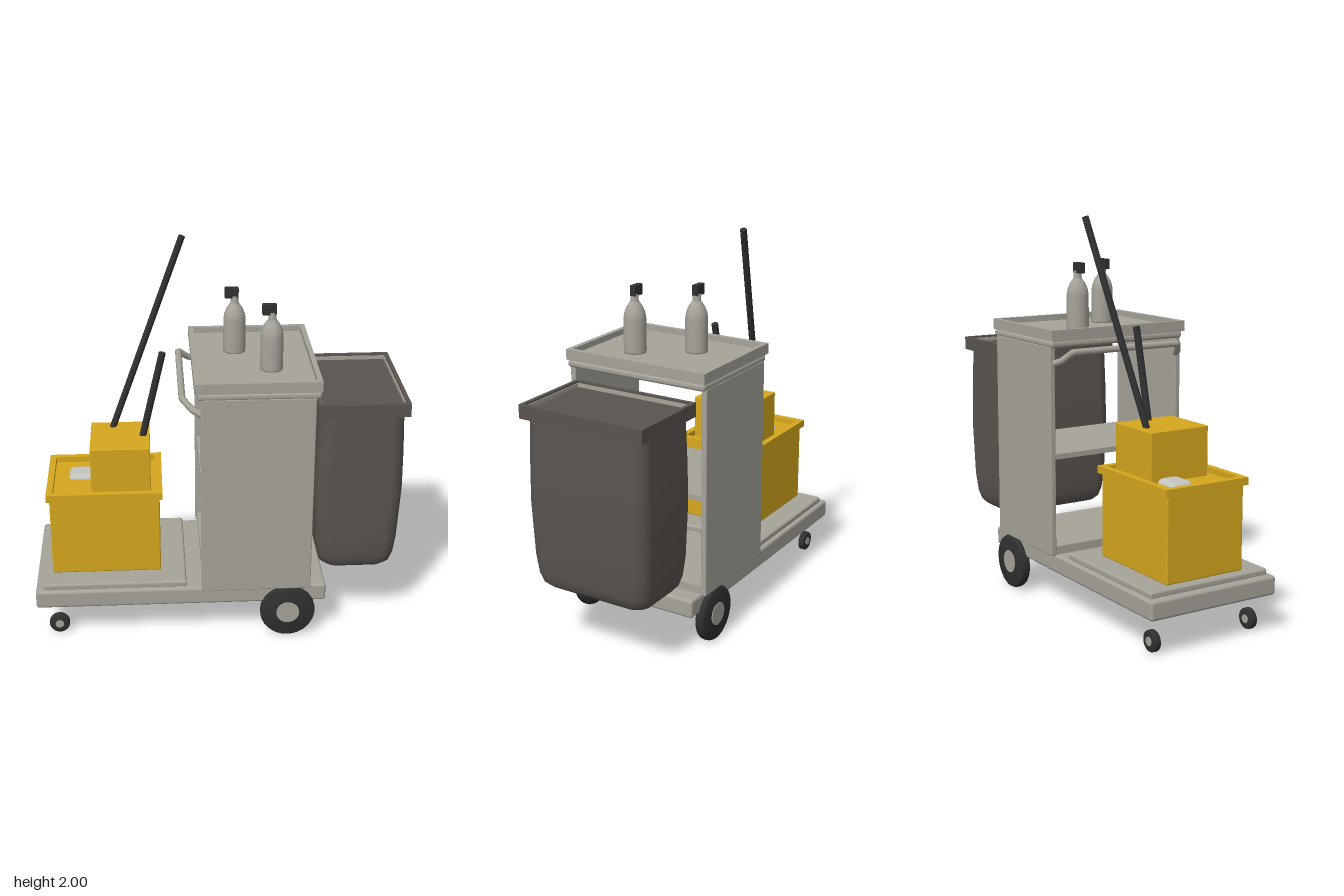
import * as THREE from 'three';
import { toCreasedNormals } from 'three/addons/utils/BufferGeometryUtils.js';
import { RoundedBoxGeometry } from 'three/addons/geometries/RoundedBoxGeometry.js';

const mat = (name, color) => {
  const m = new THREE.MeshStandardMaterial({ color });
  m.name = name;
  return m;
};

export function createModel() {
  const grey = mat('grey plastic', 0xa6a399);
  const yellow = mat('yellow plastic', 0xd6a81e);
  const black = mat('black rubber', 0x303030);
  const brown = mat('bag fabric', 0x5a544f);
  const white = mat('mop cotton', 0xc4c4c0);

  const model = new THREE.Group();
  model.name = 'cleaningCart';

  const add = (name, geo, material, x = 0, y = 0, z = 0) => {
    const mesh = new THREE.Mesh(geo, material);
    mesh.name = name;
    mesh.position.set(x, y, z);
    model.add(mesh);
    return mesh;
  };

  // Box given by its limits on each axis, with optional rounded edges
  const box = (name, material, [x0, x1], [y0, y1], [z0, z1], r = 0) => {
    const s = [x1 - x0, y1 - y0, z1 - z0];
    const geo = r ? new RoundedBoxGeometry(...s, 2, r) : new THREE.BoxGeometry(...s);
    return add(name, geo, material, (x0 + x1) / 2, (y0 + y1) / 2, (z0 + z1) / 2);
  };

  // Open rectangular rim, symmetric in z
  const rim = (name, material, [x0, x1], [y0, y1], hz, t) => {
    const rect = (P, a, b, h) => new P([
      new THREE.Vector2(a, -h), new THREE.Vector2(b, -h),
      new THREE.Vector2(b, h), new THREE.Vector2(a, h)]);
    const shape = rect(THREE.Shape, x0, x1, hz);
    shape.holes.push(rect(THREE.Path, x0 + t, x1 - t, hz - t));
    const geo = new THREE.ExtrudeGeometry(shape, { depth: y1 - y0, bevelEnabled: false });
    geo.rotateX(-Math.PI / 2);
    return add(name, geo, material, 0, y0, 0);
  };

  // Straight round rod between two points
  const rod = (name, material, a, b, r) => {
    const p = new THREE.Vector3(...a), q = new THREE.Vector3(...b);
    const dir = q.clone().sub(p);
    const mesh = add(name, new THREE.CylinderGeometry(r, r, dir.length(), 16), material);
    mesh.position.copy(p).add(q).multiplyScalar(0.5);
    mesh.quaternion.setFromUnitVectors(new THREE.Vector3(0, 1, 0), dir.normalize());
    return mesh;
  };

  const lathe = (pts, n = 32) =>
    new THREE.LatheGeometry(pts.map(p => new THREE.Vector2(...p)), n);

  // Platform
  box('base', grey, [-0.95, 0.555], [0.19, 0.287], [-0.366, 0.366], 0.015);
  box('bucketPlatform', grey, [-0.91, -0.17], [0.28, 0.317], [-0.343, 0.343], 0.012);

  // Wheels and casters
  const wheel = (name, x, z, r, w, hub) => {
    const h = w / 2, b = Math.min(h * 0.6, r * 0.15);
    const tyre = toCreasedNormals(lathe([[0, -h], [r - b, -h], [r - b * 0.3, -h + b * 0.3],
      [r, -h + b], [r, h - b], [r - b * 0.3, h - b * 0.3], [r - b, h], [0, h]]), 0.6);
    add(name + 'Tyre', tyre, black, x, r, z).rotation.x = Math.PI / 2;
    add(name + 'Hub', new THREE.CylinderGeometry(hub, hub, w + 0.008, 24), grey, x, r, z)
      .rotation.x = Math.PI / 2;
  };
  for (const s of [-1, 1]) {
    wheel('rearWheel', 0.355, s * 0.371, 0.143, 0.052, 0.06);
    wheel('caster', -0.84, s * 0.286, 0.053, 0.036, 0.022);
  }

  // Cabinet: side panels, shelves and worktop
  for (const s of [-1, 1]) {
    box('sidePanel', grey, [-0.095, 0.47], [0.285, 1.36],
      s > 0 ? [0.365, 0.395] : [-0.395, -0.365], 0.006);
  }
  box('bottomShelf', grey, [-0.085, 0.46], [0.287, 0.33], [-0.366, 0.366]);
  box('middleShelf', grey, [-0.085, 0.46], [0.785, 0.812], [-0.366, 0.366]);
  box('topSlab', grey, [-0.11, 0.495], [1.353, 1.39], [-0.396, 0.396], 0.015);
  box('trayFloor', grey, [-0.115, 0.485], [1.385, 1.415], [-0.385, 0.385]);
  rim('trayRim', grey, [-0.125, 0.497], [1.39, 1.445], 0.399, 0.025);

  // Push handle
  const path = new THREE.CurvePath();
  const pts = [[-0.09, 1.275, 0.37], [-0.13, 1.29, 0.352], [-0.182, 1.338, 0.315],
    [-0.182, 1.338, -0.315], [-0.13, 1.29, -0.352], [-0.09, 1.275, -0.37]]
    .map(p => new THREE.Vector3(...p));
  for (let i = 0; i < pts.length - 1; i++) path.add(new THREE.LineCurve3(pts[i], pts[i + 1]));
  add('pushHandle', new THREE.TubeGeometry(path, 80, 0.017, 12), grey);

  // Spray bottles
  for (const [x, z] of [[0.102, -0.115], [0.27, 0.14]]) {
    add('sprayBottle', lathe([[0, 0], [0.056, 0], [0.057, 0.01], [0.057, 0.175], [0.052, 0.205],
      [0.04, 0.235], [0.025, 0.256], [0.02, 0.265], [0.02, 0.3]]), grey, x, 1.413, z);
    box('sprayHead', black, [x - 0.05, x + 0.02], [1.7, 1.755], [z - 0.016, z + 0.016], 0.004);
  }

  // Waste bag: rounded rectangular sections [y, half x, half z]
  const sections = [[0.345, 0.001, 0.001], [0.345, 0.13, 0.25], [0.352, 0.165, 0.29],
    [0.375, 0.187, 0.31], [0.42, 0.2, 0.323], [0.52, 0.211, 0.333], [0.8, 0.223, 0.34],
    [1.0, 0.22, 0.338], [1.25, 0.211, 0.333]];
  const N = 48, pos = [], idx = [];
  sections.forEach(([y, hx, hz], i) => {
    const r = Math.min(0.075, hx, hz);
    for (let j = 0; j < N; j++) {
      const a = ((j + 0.5) / N) * Math.PI * 2, c = Math.cos(a), s = Math.sin(a);
      pos.push(0.715 + Math.sign(c) * (hx - r) + r * c, y, Math.sign(s) * (hz - r) + r * s);
      if (i === sections.length - 1) continue;
      const k = i * N + j, n = i * N + (j + 1) % N;
      idx.push(k, k + N, n, n, k + N, n + N);
    }
  });
  const bag = new THREE.BufferGeometry();
  bag.setAttribute('position', new THREE.Float32BufferAttribute(pos, 3));
  bag.setIndex(idx);
  bag.computeVertexNormals();
  add('wasteBag', bag, brown);
  box('bagTop', brown, [0.5, 0.93], [1.235, 1.265], [-0.335, 0.335]);
  rim('bagRim', brown, [0.485, 0.945], [1.225, 1.295], 0.346, 0.02);
  rim('bagRimLiner', grey, [0.504, 0.926], [1.26, 1.285], 0.327, 0.006);

  // Mop bucket with wringer
  box('bucketBody', yellow, [-0.865, -0.3], [0.315, 0.75], [-0.222, 0.222], 0.008);
  rim('bucketRim', yellow, [-0.88, -0.285], [0.742, 0.78], 0.238, 0.033);
  box('wringer', yellow, [-0.65, -0.343], [0.745, 1.0], [-0.168, 0.168], 0.005);
  rod('wringerLever', black, [-0.39, 0.95, 0], [-0.27, 1.455, 0], 0.018);

  // Mop
  box('mopHead', white, [-0.775, -0.6], [0.7, 0.772], [-0.13, 0.005], 0.034);
  rod('mopHandle', black, [-0.62, 0.77, -0.09], [-0.158, 1.995, -0.227], 0.017);

  return model;
}
